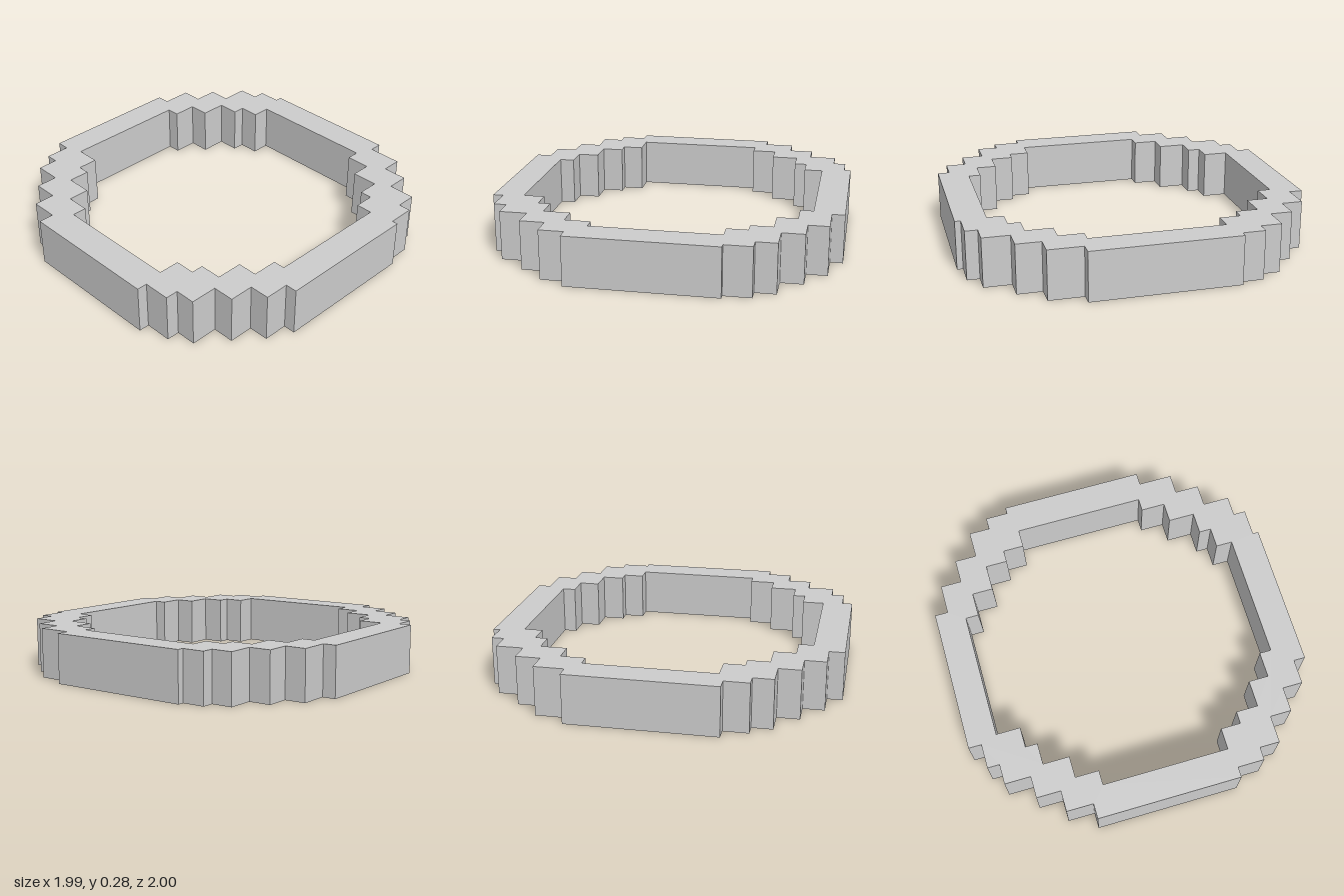
import * as THREE from 'three';

const HEIGHT = 0.28;

// Stepped outlines, clockwise from the back: each pair moves first along x, then along z.
const OUTER = [
  [0.425, -0.925], [0.595, -0.805], [0.733, -0.68], [0.887, -0.56], [0.957, -0.43],
  [0.995, 0.407], [0.923, 0.603], [0.807, 0.743], [0.68, 0.897], [0.563, 0.967], [0.408, 1],
  [-0.43, 0.933], [-0.57, 0.817], [-0.71, 0.693], [-0.865, 0.577], [-0.938, 0.423],
  [-0.997, -0.41], [-0.91, -0.565], [-0.79, -0.705], [-0.665, -0.855], [-0.55, -0.925], [-0.41, -1],
];
const INNER = [
  [0.358, -0.755], [0.497, -0.635], [0.647, -0.51], [0.717, -0.39],
  [0.822, 0.368], [0.748, 0.508], [0.633, 0.66], [0.508, 0.73], [0.39, 0.825],
  [-0.332, 0.757], [-0.478, 0.642], [-0.63, 0.515], [-0.7, 0.4],
  [-0.822, -0.33], [-0.738, -0.467], [-0.615, -0.62], [-0.492, -0.69], [-0.375, -0.83],
];

// Turns the steps into a closed outline of right-angled corners (shape y is -z).
function steppedOutline(steps) {
  const points = [];
  let z = steps[steps.length - 1][1];
  for (const [x, nextZ] of steps) {
    points.push(new THREE.Vector2(x, -z), new THREE.Vector2(x, -nextZ));
    z = nextZ;
  }
  return points;
}

export function createModel() {
  const group = new THREE.Group();
  group.name = 'steppedRing';

  // Ring wall: stepped outline with a stepped opening, wound the other way so its walls face inward
  const shape = new THREE.Shape(steppedOutline(OUTER));
  shape.holes.push(new THREE.Path(steppedOutline(INNER).reverse()));
  const geometry = new THREE.ExtrudeGeometry(shape, { depth: HEIGHT, bevelEnabled: false });
  geometry.rotateX(-Math.PI / 2);

  const wall = new THREE.Mesh(
    geometry,
    new THREE.MeshStandardMaterial({ color: 0xcccccc, flatShading: true }),
  );
  wall.name = 'ringWall';
  group.add(wall);
  return group;
}
